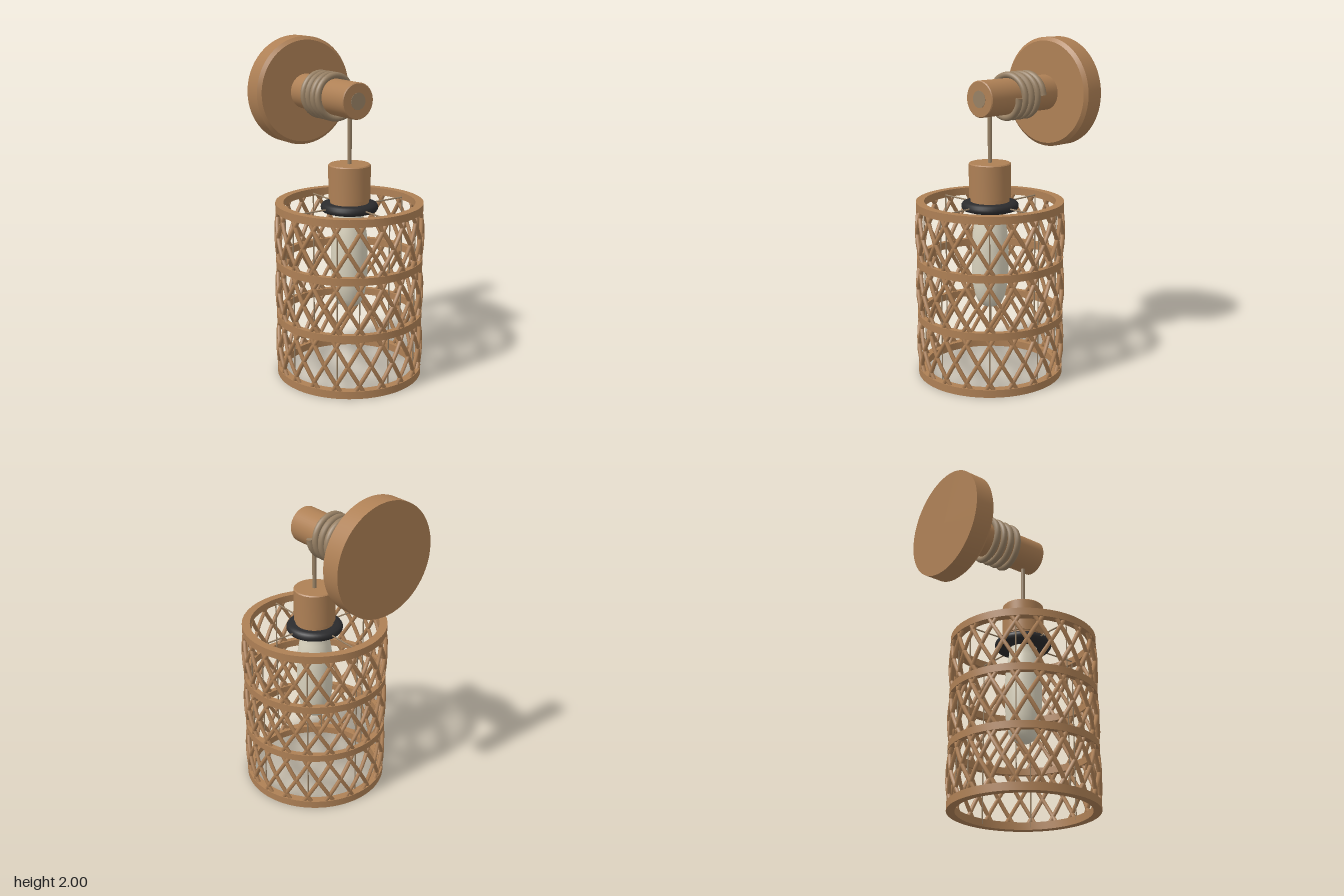
import * as THREE from 'three';
import { toCreasedNormals } from 'three/addons/utils/BufferGeometryUtils.js';

const mat = (name, color, extra = {}) => {
  const m = new THREE.MeshStandardMaterial({ color, ...extra });
  m.name = name;
  return m;
};

export function createModel() {
  const wood = mat('wood', 0xae8055);
  const rope = mat('rope', 0x978064);
  const black = mat('black', 0x2b2b2d);
  const glass = mat('bulb glass', 0xd9d2bd);

  const root = new THREE.Group();
  root.name = 'wallLamp';
  const shade = new THREE.Group();
  shade.name = 'hangingShade';
  shade.position.z = 0.08;
  root.add(shade);

  const add = (parent, name, geo, material, x = 0, y = 0, z = 0) => {
    const m = new THREE.Mesh(geo, material);
    m.name = name;
    m.position.set(x, y, z);
    parent.add(m);
    return m;
  };
  // Solid turned from a [radius, height] profile running bottom to top
  const turned = (pts, segs = 64, crease = 0.5) =>
    toCreasedNormals(new THREE.LatheGeometry(pts.map(p => new THREE.Vector2(...p)), segs), crease);
  const hoop = (inner, outer, y0, y1) =>
    turned([[inner, y0], [outer, y0], [outer, y1], [inner, y1], [inner, y0]], 72);

  // Wall plate, arm and tip plug, turned so their axis points forward
  const axisY = 1.667;
  const plate = turned([[0, -0.525], [0.333, -0.525], [0.333, -0.41], [0.312, -0.39], [0, -0.39]]);
  add(root, 'wallPlate', plate.rotateX(Math.PI / 2), wood, 0, axisY);
  const arm = turned([[0, -0.4], [0.107, -0.4], [0.107, 0.16], [0.102, 0.165], [0, 0.165]], 48);
  add(root, 'arm', arm.rotateX(Math.PI / 2), wood, 0, axisY);
  add(root, 'armPlug', new THREE.CylinderGeometry(0.05, 0.05, 0.004, 32).rotateX(Math.PI / 2),
    rope, 0, axisY, 0.165);

  // Cord coiled four times round the arm
  const turns = 4, coilR = 0.125, cordR = 0.02;
  const coilPts = [];
  for (let i = 0; i <= turns * 16; i++) {
    const a = i / 16 * Math.PI * 2;
    coilPts.push(new THREE.Vector3(coilR * Math.cos(a), coilR * Math.sin(a), -0.243 + 0.052 * i / 16));
  }
  const coil = new THREE.CatmullRomCurve3(coilPts);
  add(root, 'coiledCord', new THREE.TubeGeometry(coil, turns * 40, cordR, 10), rope, 0, axisY);
  [[coilPts[0], Math.PI / 2], [coilPts[coilPts.length - 1], -Math.PI / 2]].forEach(([p, r]) =>
    add(root, 'cordEnd', new THREE.CircleGeometry(cordR, 10).rotateX(r), rope, p.x, p.y + axisY, p.z));

  // Hanging cord and socket
  add(shade, 'hangingCord', new THREE.CylinderGeometry(0.013, 0.013, 0.34, 12), rope, 0, 1.43);
  add(shade, 'socketCup', turned([[0, 1.085], [0.125, 1.085], [0.125, 1.284], [0.119, 1.29], [0, 1.29]], 48), wood);
  add(shade, 'socketNeck', new THREE.CylinderGeometry(0.115, 0.115, 0.05, 48), wood, 0, 1.065);
  add(shade, 'socketCollar', turned([[0, 1.005], [0.14, 1.005], [0.162, 1.012], [0.17, 1.025],
    [0.17, 1.04], [0.162, 1.053], [0.14, 1.06], [0, 1.06]], 48, 0.8), black);

  // Bulb
  add(shade, 'bulb', turned([[0, 0.412], [0.04, 0.415], [0.07, 0.435], [0.09, 0.48], [0.104, 0.55],
    [0.11, 0.64], [0.11, 0.78], [0.105, 0.86], [0.092, 0.94], [0.085, 0.97], [0.085, 1.01]], 40, 0.9), glass);

  // Shade hoops
  const hoopY = [[0, 0.046], [0.345, 0.388], [0.683, 0.727], [1.02, 1.065]];
  hoopY.forEach(([y0, y1], i) =>
    add(shade, 'shadeHoop', hoop(i % 3 ? 0.405 : 0.39, 0.438, y0, y1), wood));

  // Woven lattice: slanted strips both ways in each tier, bowing slightly outward
  const count = 20, sweep = Math.PI * 2 / count * 1.5;
  for (let tier = 0; tier < 3; tier++) {
    const y0 = hoopY[tier][0] + 0.022, y1 = hoopY[tier + 1][0] + 0.022;
    for (const dir of [-1, 1]) {
      const pts = [];
      for (let i = 0; i <= 6; i++) {
        const t = i / 6, a = dir * sweep * (t - 0.5);
        const r = 0.421 + 0.013 * Math.sin(Math.PI * t);
        pts.push(new THREE.Vector3(r * Math.sin(a), y0 + (y1 - y0) * t, r * Math.cos(a)));
      }
      const strip = new THREE.TubeGeometry(new THREE.CatmullRomCurve3(pts), 10, 0.0125, 6);
      for (let k = 0; k < count; k++)
        add(shade, 'latticeStrip', strip, wood).rotation.y = k / count * Math.PI * 2;
    }
  }

  // Wire frame: upright wires inside the shade and spokes to the collar
  const upright = new THREE.CylinderGeometry(0.004, 0.004, 1.03, 6);
  for (let k = 0; k < 8; k++) {
    const a = k * Math.PI / 4;
    add(shade, 'uprightWire', upright, rope, 0.393 * Math.sin(a), 0.53, 0.393 * Math.cos(a));
  }
  const spoke = new THREE.CylinderGeometry(0.005, 0.005, 0.26, 6).rotateX(Math.PI / 2).translate(0, 0, 0.27);
  for (let k = 0; k < 4; k++)
    add(shade, 'spoke', spoke, rope, 0, 1.035).rotation.y = k * Math.PI / 2;

  return root;
}
